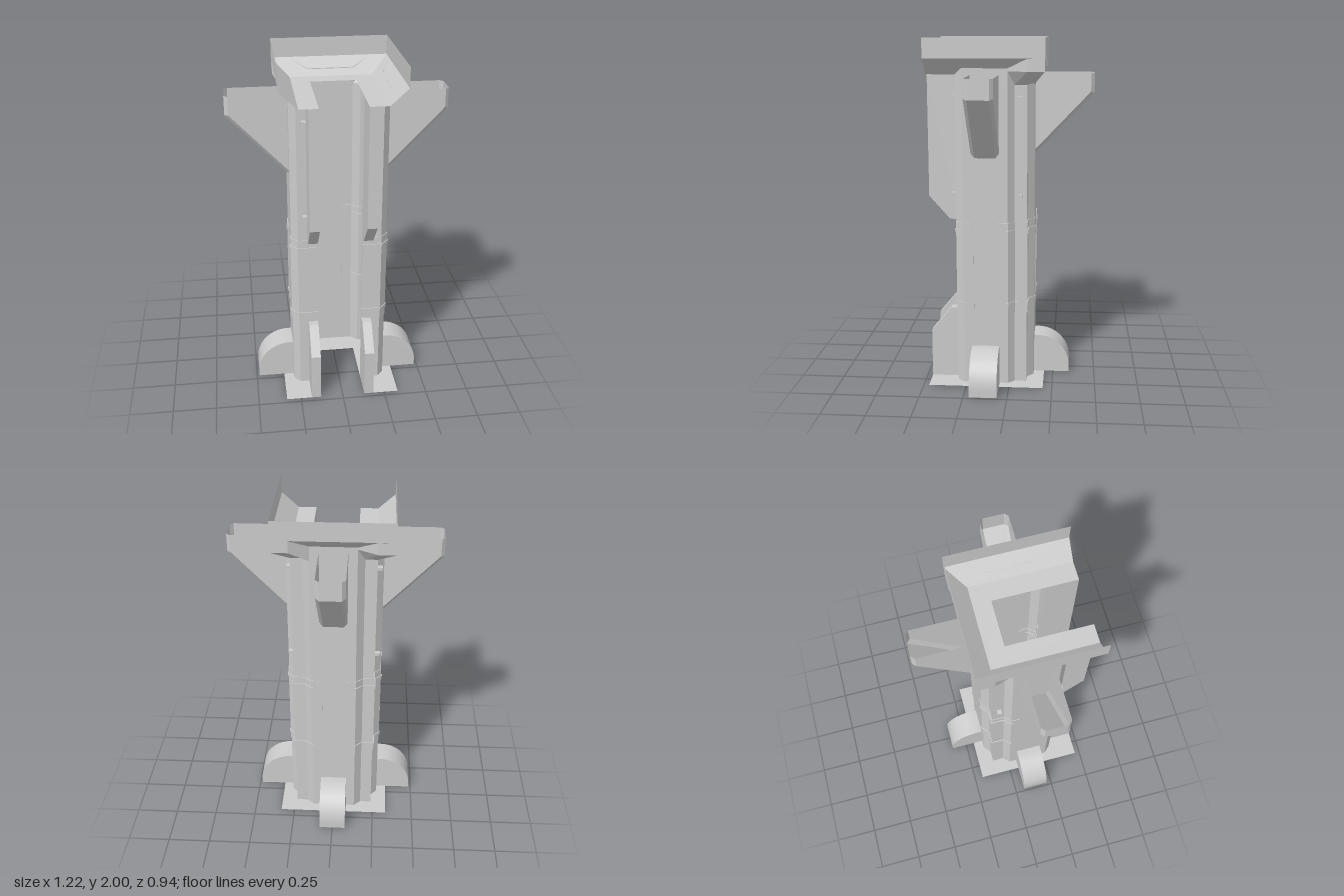
import * as THREE from 'three';
import { toCreasedNormals } from 'three/addons/utils/BufferGeometryUtils.js';

const flat = new THREE.MeshStandardMaterial({ color: 0xcccccc, flatShading: true, side: THREE.DoubleSide });
const smooth = new THREE.MeshStandardMaterial({ color: 0xcccccc, side: THREE.DoubleSide });

function add(parent, name, geometry, material = flat) {
  const mesh = new THREE.Mesh(geometry, material);
  mesh.name = name;
  parent.add(mesh);
  return mesh;
}

// Skin between rows of [x, y, z] points.
function loft(rows) {
  const pos = [];
  for (let j = 0; j < rows.length - 1; j++) {
    for (let i = 0; i < rows[j].length - 1; i++) {
      const a = rows[j][i], b = rows[j][i + 1], c = rows[j + 1][i], d = rows[j + 1][i + 1];
      pos.push(...a, ...c, ...d, ...a, ...d, ...b);
    }
  }
  const g = new THREE.BufferGeometry();
  g.setAttribute('position', new THREE.Float32BufferAttribute(pos, 3));
  g.computeVertexNormals();
  return g;
}

const mirror = (path) => path.map(([x, z]) => [-x, z]).reverse();

// Strip that follows a plan path [x, z], standing out on both faces of the
// shell, with rounded ends.
function strip(path, y0, y1, off, r = 0) {
  const roundEnd = (p, q) => {
    const len = Math.hypot(q[0] - p[0], q[1] - p[1]);
    return [0, 1, 2, 3].map((i) => {
      const a = (i / 3) * Math.PI / 2, t = r * (1 - Math.cos(a)) / len;
      return [p[0] + (q[0] - p[0]) * t, p[1] + (q[1] - p[1]) * t, r * (1 - Math.sin(a))];
    });
  };
  let pts = path.map(([x, z]) => [x, z, 0]);
  if (r > 0) {
    const n = path.length;
    pts = [...roundEnd(path[0], path[1]), ...pts.slice(1, -1), ...roundEnd(path[n - 1], path[n - 2]).reverse()];
  }
  const normal = (a, b) => {
    const l = Math.hypot(b[0] - a[0], b[1] - a[1]);
    return [(b[1] - a[1]) / l, -(b[0] - a[0]) / l];
  };
  const rows = [[], [], [], [], []];
  const station = ([x, z, inset], ox, oz) => {
    const lo = y0 + inset, hi = y1 - inset;
    [[-1, lo], [1, lo], [1, hi], [-1, hi], [-1, lo]].forEach(([s, y], j) => rows[j].push([x + s * ox, y, z + s * oz]));
  };
  const last = pts.length - 1;
  pts.forEach((p, i) => {
    const n1 = normal(pts[Math.max(i - 1, 0)], pts[Math.max(i, 1)]);
    const n2 = normal(pts[Math.min(i, last - 1)], pts[Math.min(i + 1, last)]);
    const k = off / (1 + n1[0] * n2[0] + n1[1] * n2[1]);
    if (i === 0) station(p, 0, 0);
    station(p, (n1[0] + n2[0]) * k, (n1[1] + n2[1]) * k);
    if (i === last) station(p, 0, 0);
  });
  return loft(rows);
}

function shapeOf(points) {
  return new THREE.Shape(points.map(([x, y]) => new THREE.Vector2(x, y)));
}

// Flat U-shaped sheet, open to the front.
function uSheet(x, back, y) {
  const g = new THREE.ShapeGeometry(shapeOf([
    [-x, back], [x, back], [x, 0.47], [0.13, 0.47], [0.13, 0], [-0.13, 0], [-0.13, 0.47], [-x, 0.47],
  ]));
  g.rotateX(Math.PI / 2);
  g.translate(0, y, 0);
  return g;
}

// Hollow wing, open on top, and hollow foot, open below.
function sideSupport() {
  const g = new THREE.Group();
  const at = (path, z) => path.map(([x, y]) => [x, y, z]);
  const outer = [[0.274, 1.34], [0.608, 1.69], [0.608, 1.8]];
  const inset = [[0.274, 1.366], [0.588, 1.697], [0.588, 1.8]];
  const root = inset.map(([, y]) => [0.274, y]);
  add(g, 'wing', loft([at(root, -0.079), at(inset, -0.079), at(outer, -0.059),
    at(outer, 0.059), at(inset, 0.079), at(root, 0.079)]));

  const s = new THREE.Shape();
  s.moveTo(0.274, 0);
  s.lineTo(0.485, 0);
  s.lineTo(0.485, 0.04);
  s.absarc(0.295, 0.04, 0.19, 0, Math.PI / 2, false);
  s.lineTo(0.274, 0.23);
  const rim = s.getPoints(14).slice(1).map((p) => [p.x, p.y]);
  add(g, 'foot', toCreasedNormals(loft([at(rim, -0.079), at(rim, 0.079)]), 0.5), smooth);
  for (const side of [-1, 1]) {
    add(g, 'footSide', new THREE.ShapeGeometry(s, 14)).position.z = side * 0.079;
  }
  return g;
}

export function createModel() {
  const model = new THREE.Group();
  model.name = 'tower';

  // Thin U-shaped shaft with notched back corners that flare out to the collar.
  const half = [[0.13, -0.135], [0.17, -0.098], [0.238, -0.098], [0.238, -0.027], [0.274, 0.01],
    [0.274, 0.265], [0.238, 0.305], [0.13, 0.305], [0.13, 0.29]];
  const flared = [[0.13, -0.135], [0.237, -0.196], [0.332, -0.196], [0.332, -0.1], ...half.slice(4)];
  const tops = [1.837, 1.889, 1.889, 1.889, 1.837, 1.837, 1.8, 1.8, 1.8];
  const low = [...mirror(half), ...half];
  const high = [...mirror(flared), ...flared];
  const topY = [...tops.slice().reverse(), ...tops];
  add(model, 'shaft', loft([
    low.map(([x, z]) => [x, 0, z]),
    low.map(([x, z]) => [x, 1.745, z]),
    high.map(([x, z], i) => [x, Math.min(1.82, topY[i]), z]),
    high.map(([x, z], i) => [x, topY[i], z]),
  ]));

  // Collar: sloping funnel with an upright rim, open to the front
  const ring = (x, back, y) => [[-x, y, 0.47], [-x, y, back], [x, y, back], [x, y, 0.47]];
  add(model, 'collar', loft([ring(0.235, -0.1, 1.8), ring(0.333, -0.197, 1.89), ring(0.333, -0.197, 2)]));
  add(model, 'collarFloor', uSheet(0.235, -0.1, 1.8));
  add(model, 'basePlate', uSheet(0.333, -0.197, 0));

  // Supports on the left, back and right
  for (let i = 0; i < 3; i++) {
    const support = sideSupport();
    support.name = ['leftSupport', 'backSupport', 'rightSupport'][i];
    support.position.z = 0.138;
    support.rotation.y = i * Math.PI / 2;
    model.add(support);
  }

  // Front guide rails, below and above the middle section
  const rails = {
    lowerRail: [[0.295, 0], [0.47, 0], [0.47, 0.285], [0.35, 0.43], [0.295, 0.43]],
    upperRail: [[0.295, 0.97], [0.35, 0.97], [0.47, 1.105], [0.47, 1.8], [0.295, 1.8]],
  };
  for (const [name, profile] of Object.entries(rails)) {
    for (const side of [-1, 1]) {
      const g = new THREE.ExtrudeGeometry(shapeOf(profile), { depth: 0.055, bevelEnabled: false });
      g.rotateY(-Math.PI / 2);
      g.translate(side * 0.1575 + 0.0275, 0, 0);
      add(model, name, g);
    }
  }

  // Panels and bands wrapping the pillars
  const frontPanel = [[0.274, 0.205], ...half.slice(5, 8)];
  const backPanel = [[0.068, -0.135], ...half.slice(0, 5), [0.274, 0.075]];
  const frontBand = [[0.274, 0.25], ...half.slice(5, 8)];
  const backBand = [[0.12, -0.135], ...half.slice(0, 5), [0.274, 0.02]];
  for (const flip of [(p) => p, mirror]) {
    for (const path of [frontPanel, backPanel]) add(model, 'panel', strip(flip(path), 0.43, 0.97, 0.004, 0.028));
    for (const path of [frontBand, backBand]) {
      for (const y of [0.487, 0.915]) add(model, 'band', strip(flip(path), y - 0.01, y + 0.01, 0.009));
    }
  }

  // Small pegs on the front faces and back corners
  for (const side of [-1, 1]) {
    for (const y of [1.122, 1.675]) {
      add(model, 'frontPeg', new THREE.BoxGeometry(0.026, 0.018, 0.04)).position.set(side * 0.198, y, 0.315);
      add(model, 'cornerPeg', new THREE.BoxGeometry(0.04, 0.018, 0.026)).position.set(side * 0.245, y, -0.058);
    }
  }
  return model;
}
